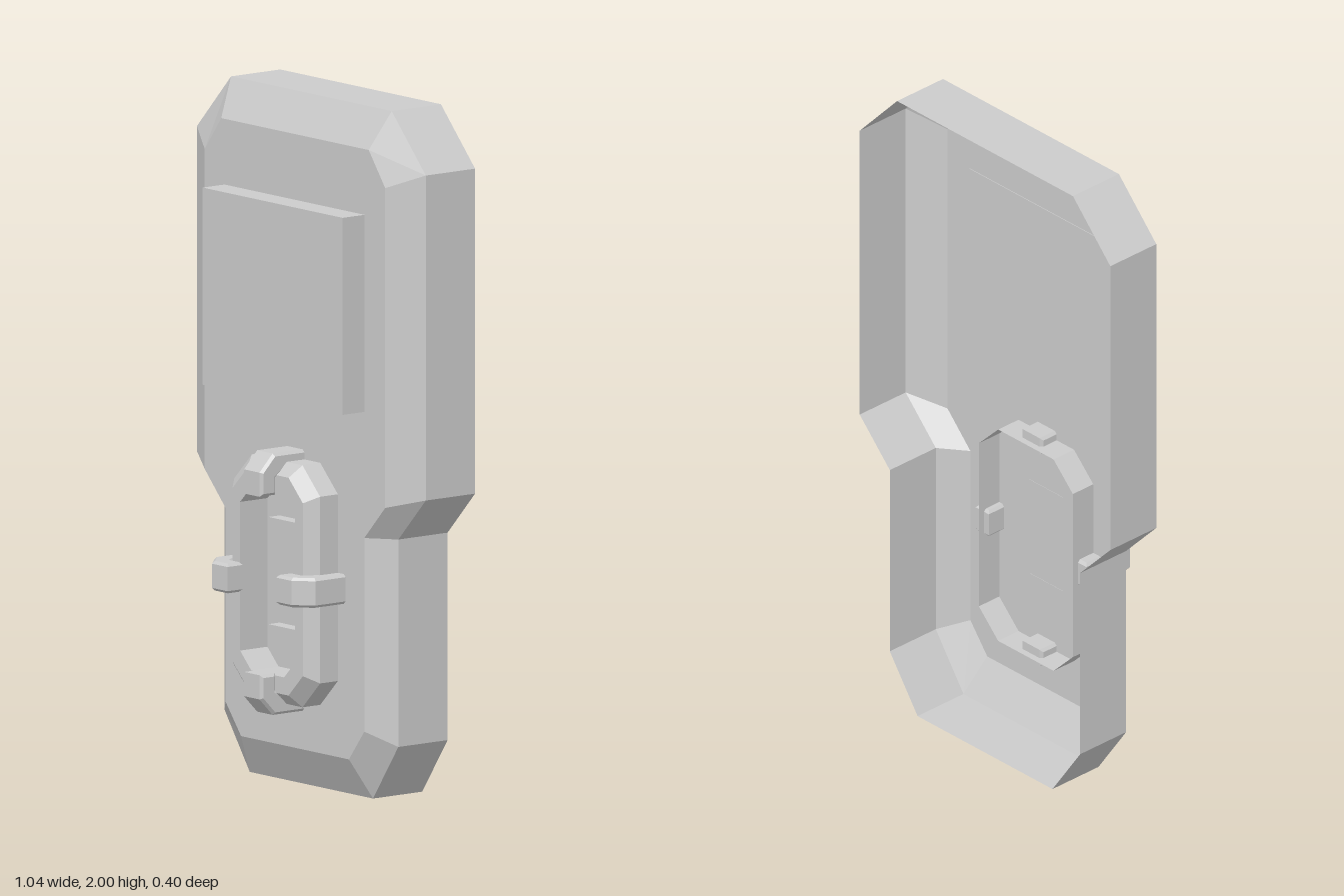
import * as THREE from 'three';

const material = new THREE.MeshStandardMaterial({ color: 0xcccccc, flatShading: true, side: THREE.DoubleSide });
const PAD_Y = 0.605; // height of the control pad centre

function addMesh(parent, name, geometry) {
  const mesh = new THREE.Mesh(geometry, material);
  mesh.name = name;
  parent.add(mesh);
  return mesh;
}

// Closed outline from its +x half (listed bottom to top), mirrored to -x
function mirrored(half) {
  return [...half, ...half.map(([x, y]) => [-x, y]).reverse()];
}

// Open flat-shaded skin through outlines at given depths: [[outline, z], ...]
function loft(sections) {
  const pos = [];
  for (let s = 0; s < sections.length - 1; s++) {
    const [a, za] = sections[s];
    const [b, zb] = sections[s + 1];
    for (let i = 0; i < a.length; i++) {
      const j = (i + 1) % a.length;
      const p = [...a[i], za], q = [...a[j], za], r = [...b[j], zb], t = [...b[i], zb];
      pos.push(...p, ...q, ...r, ...p, ...r, ...t);
    }
  }
  const g = new THREE.BufferGeometry();
  g.setAttribute('position', new THREE.Float32BufferAttribute(pos, 3));
  g.computeVertexNormals();
  return g;
}

function toShape(points) {
  return new THREE.Shape(points.map(([x, y]) => new THREE.Vector2(x, y)));
}

// Rectangle with cut corners, centred on the control pad
function octagon(hx, hy, cut) {
  return mirrored([
    [hx - cut, PAD_Y - hy], [hx, PAD_Y - hy + cut],
    [hx, PAD_Y + hy - cut], [hx - cut, PAD_Y + hy],
  ]);
}

// Hooked clip reaching outwards to +x by reach, bent over the frame
function clipGeometry(reach) {
  const bevel = 0.008, width = 0.086;
  const profile = [
    [reach, -0.02], [reach, 0.15], [reach - 0.05, 0.198], [reach - 0.12, 0.198],
    [reach - 0.12, 0.142], [reach - 0.07, 0.142], [reach - 0.055, 0.12], [reach - 0.055, -0.02],
  ];
  const g = new THREE.ExtrudeGeometry(toShape(profile), {
    depth: width - 2 * bevel, bevelEnabled: true, bevelSegments: 1,
    bevelSize: bevel, bevelThickness: bevel, bevelOffset: -bevel,
  });
  g.translate(0, 0, -(width / 2 - bevel));
  g.rotateX(Math.PI / 2);
  return g;
}

export function createModel() {
  const model = new THREE.Group();
  model.name = 'handheldDevice';

  // Casing: open-backed shell with bevelled front
  const rim = mirrored([[0.28, 0], [0.395, 0.165], [0.395, 0.765], [0.52, 0.895], [0.52, 1.835], [0.365, 2]]);
  const face = mirrored([[0.245, 0.115], [0.315, 0.205], [0.315, 0.765], [0.41, 0.865], [0.41, 1.79], [0.335, 1.89]]);
  const casing = new THREE.Group();
  casing.name = 'casing';
  model.add(casing);
  addMesh(casing, 'casingWalls', loft([[rim, -0.2], [rim, -0.02], [face, 0.04]]));
  addMesh(casing, 'casingFront', new THREE.ShapeGeometry(toShape(face))).position.z = 0.04;

  // Raised screen block
  addMesh(model, 'screen', new THREE.BoxGeometry(0.636, 0.57, 0.082)).position.set(-0.002, 1.415, 0.079);

  // Control pad frame: bevelled octagonal ring passing through the casing front
  const outer = octagon(0.195, 0.35, 0.08);
  const middle = octagon(0.16, 0.315, 0.065);
  const inner = octagon(0.125, 0.265, 0.05);
  addMesh(model, 'padFrame', loft([
    [outer, -0.04], [outer, 0.105], [middle, 0.14], [inner, 0.14], [inner, 0.04],
  ]));

  // Two small bars inside the frame
  for (const y of [0.45, 0.76]) {
    addMesh(model, 'padBar', new THREE.BoxGeometry(0.14, 0.035, 0.042)).position.set(0, y, 0.06);
  }

  // Four clips, one at the middle of each frame side
  ['leftClip', 'topClip', 'rightClip', 'bottomClip'].forEach((name, i) => {
    const clip = addMesh(model, name, clipGeometry(i % 2 ? 0.378 : 0.23));
    clip.rotation.z = i * Math.PI / 2;
    clip.position.y = PAD_Y;
  });

  return model;
}
